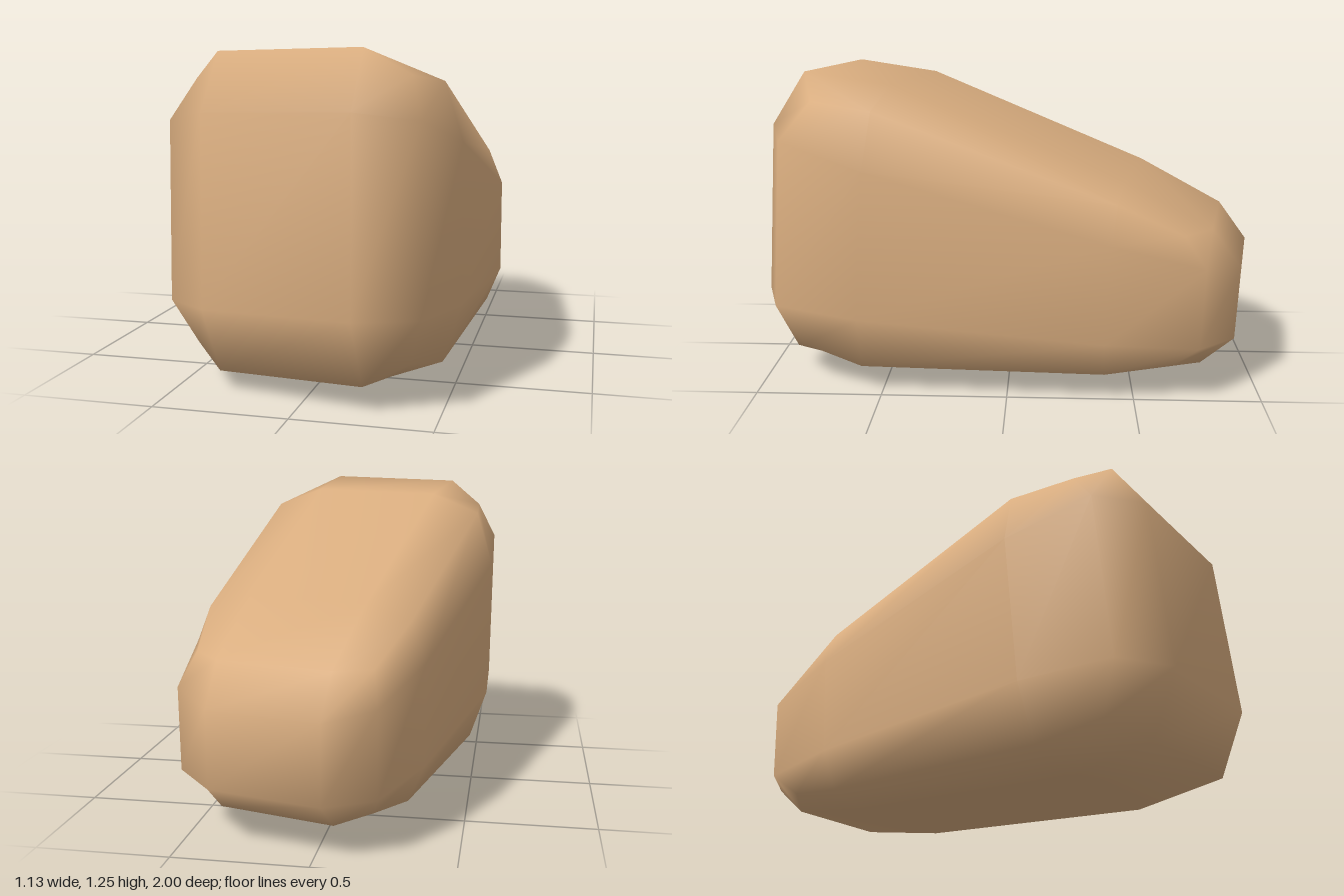
import * as THREE from 'three';
import { mergeVertices } from 'three/addons/utils/BufferGeometryUtils.js';

// Corners of the skewed block that bounds the stone: [x, y, z]
const FRONT = { // left / right as seen on the -x / +x side
  bottom: [[-0.64, -0.03, 0.84], [0.51, 0.02, 1.085]],
  top: [[-0.66, 1.365, 0.74], [0.49, 1.39, 0.985]],
};
const BACK = {
  bottom: [[-0.25, 0.06, -1.03], [0.6, 0.08, -0.85]],
  top: [[-0.255, 0.665, -1.055], [0.6, 0.665, -0.87]],
};

const corner = ([a, b]) => [new THREE.Vector3(...a), new THREE.Vector3(...b)];
const blend = ([a, b], t) => a.clone().lerp(b, t);

// Trilinear position inside the block, each parameter running from -1 to 1
function inBlock(u, v, w) {
  const [s, t, r] = [u, v, w].map((n) => (n + 1) / 2);
  const end = (e) => blend(corner(e.bottom), s).lerp(blend(corner(e.top), s), t);
  return end(BACK).lerp(end(FRONT), r);
}

function createStone() {
  // Cube with a 3 x 3 grid on each side, welded for smooth normals
  let geometry = new THREE.BoxGeometry(2, 2, 2, 3, 3, 3);
  geometry.deleteAttribute('normal');
  geometry.deleteAttribute('uv');
  geometry = mergeVertices(geometry, 1e-4);

  // Outer reach of a face, edge and corner vertex: edges and corners are worn in
  const reach = [0, 1, 0.87, 0.77];
  const inner = 0.5;
  const pos = geometry.attributes.position;
  for (let i = 0; i < pos.count; i++) {
    const p = [pos.getX(i), pos.getY(i), pos.getZ(i)];
    const outer = p.filter((n) => Math.abs(n) > 0.9).length;
    const q = p.map((n) => Math.sign(n) * (Math.abs(n) > 0.9 ? reach[outer] : inner));
    const v = inBlock(...q);
    pos.setXYZ(i, v.x, v.y, v.z);
  }
  geometry.computeVertexNormals();
  return geometry;
}

export function createModel() {
  const group = new THREE.Group();
  group.name = 'stone';
  const stone = new THREE.Mesh(createStone(), new THREE.MeshStandardMaterial({ color: 0xd9ad7f }));
  stone.name = 'stoneBody';
  group.add(stone);
  return group;
}
